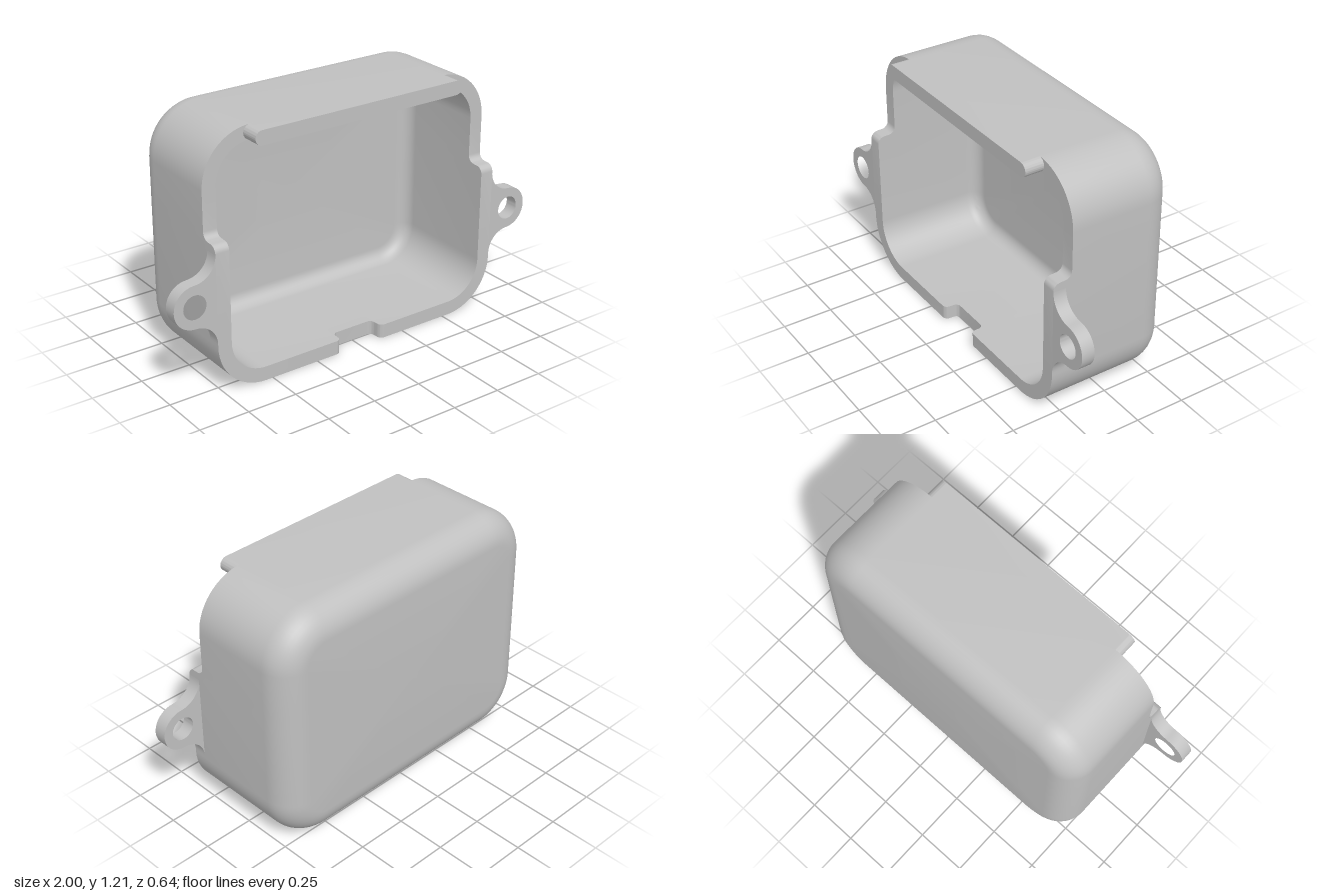
import * as THREE from 'three';
import { toCreasedNormals } from 'three/addons/utils/BufferGeometryUtils.js';

const FRONT = 0.32, LOW = 0.225, BACK = -0.32;
const R_OUT = 0.25, R_IN = 0.18;          // corner radii of outer and inner wall
const CX = 0.535, Y0 = 0.25, Y1 = 0.96;   // corner centres
const MID = 0.605;

// Rim step from high to low with a convex and a concave fillet: [distance, z]
function rimStep(hi, lo, r) {
  const pts = [];
  for (let i = 0; i <= 6; i++) {
    const a = (i / 6) * Math.PI / 2;
    pts.push([-r + r * Math.sin(a) - 0.0005, hi - r + r * Math.cos(a)]);
  }
  for (let i = 0; i <= 6; i++) {
    const a = (i / 6) * Math.PI / 2;
    pts.push([r - r * Math.cos(a) + 0.0005, lo + r - r * Math.sin(a)]);
  }
  return pts;
}

// Columns around the perimeter: centre, outward direction and rim height
function perimeter() {
  const cols = [];
  const add = (x, y, a, z) => cols.push({ x, y, nx: Math.cos(a), ny: Math.sin(a), z });
  const corner = (x, y, start, z) => {
    for (let i = 0; i <= 14; i++) add(x, y, start + (i / 14) * Math.PI / 2, z);
  };
  const side = rimStep(FRONT, LOW, 0.035), notch = rimStep(FRONT, 0.25, 0.025);
  const H = Math.PI / 2;
  side.forEach(([d, z]) => add(CX, 0.735 + d, 0, z));
  corner(CX, Y1, 0, LOW);
  corner(-CX, Y1, H, LOW);
  [...side].reverse().forEach(([d, z]) => add(-CX, 0.735 + d, Math.PI, z));
  corner(-CX, Y0, Math.PI, FRONT);
  notch.forEach(([d, z]) => add(-0.115 + d, Y0, -H, z));
  [...notch].reverse().forEach(([d, z]) => add(0.115 - d, Y0, -H, z));
  corner(CX, Y0, -H, FRONT);
  return cols;
}

// Wall section from the back centre, round the rim, to the inner floor centre
function section() {
  const rows = [{ centre: true, z: BACK }];
  const fillet = (wall, floor, r, i) => {
    const a = (i / 10) * Math.PI / 2;
    return { r: wall - r + r * Math.sin(a), z: floor + r - r * Math.cos(a) };
  };
  for (let i = 0; i <= 10; i++) rows.push(fillet(R_OUT, BACK, 0.14, i));
  rows.push({ r: R_OUT, rim: true }, { r: R_IN, rim: true });
  for (let i = 10; i >= 0; i--) rows.push(fillet(R_IN, BACK + 0.07, 0.07, i));
  rows.push({ centre: true, z: BACK + 0.07 });
  return rows;
}

function shellGeometry() {
  const cols = perimeter(), rows = section(), n = cols.length;
  const pos = [], index = [];
  for (const row of rows) {
    for (const c of cols) {
      if (row.centre) pos.push(0, MID, row.z);
      else pos.push(c.x + c.nx * row.r, c.y + c.ny * row.r, row.rim ? c.z : row.z);
    }
  }
  for (let j = 0; j < rows.length - 1; j++) {
    for (let i = 0; i < n; i++) {
      const k = (i + 1) % n;
      const a = j * n + i, b = j * n + k, c = b + n, d = a + n;
      if (!rows[j].centre) index.push(a, b, c);
      if (!rows[j + 1].centre) index.push(a, c, d);
      // Close the inner floor fan
      if (rows[j].centre && rows[j + 1].centre) index.push(a, b, c);
    }
  }
  const g = new THREE.BufferGeometry();
  g.setAttribute('position', new THREE.Float32BufferAttribute(pos, 3));
  g.setIndex(index);
  return toCreasedNormals(g, 0.6);
}

function extrude(shape, z0, z1) {
  const g = new THREE.ExtrudeGeometry(shape, { depth: z1 - z0, bevelEnabled: false, curveSegments: 20 });
  g.translate(0, 0, z0);
  return toCreasedNormals(g, 0.6);
}

// Mounting ear with flared root and a screw hole
function earShape(s) {
  const H = Math.PI / 2, ex = 0.895, ey = 0.48, r = 0.105, f = 0.11;
  const pts = [];
  const arc = (x, y, rad, a0, a1) => {
    for (let i = 0; i <= 16; i++) {
      const a = a0 + (a1 - a0) * i / 16;
      pts.push(new THREE.Vector2(s * (x + rad * Math.cos(a)), y + rad * Math.sin(a)));
    }
  };
  arc(ex, ey - r - f, f, Math.PI, H);
  arc(ex, ey, r, -H, H);
  arc(ex, ey + r + f, f, -H, -Math.PI);
  const shape = new THREE.Shape(pts);
  shape.holes.push(new THREE.Path().absarc(s * ex, ey, 0.058, 0, Math.PI * 2, true));
  return shape;
}

export function createModel() {
  const model = new THREE.Group();
  model.name = 'housing';
  const grey = new THREE.MeshStandardMaterial({ color: 0xc0c0c0 });
  grey.name = 'light grey';
  const part = (name, geometry) => {
    const mesh = new THREE.Mesh(geometry, grey);
    mesh.name = name;
    model.add(mesh);
  };

  part('shell', shellGeometry());

  // Raised lip with round ends along the top edge
  const lip = new THREE.Shape();
  lip.absarc(0.535, 1.175, 0.035, -Math.PI / 2, Math.PI / 2, false);
  lip.absarc(-0.535, 1.175, 0.035, Math.PI / 2, Math.PI * 1.5, false);
  part('topLip', extrude(lip, LOW, FRONT));

  part('leftEar', extrude(earShape(1), 0.255, FRONT));
  part('rightEar', extrude(earShape(-1), 0.255, FRONT));
  return model;
}
